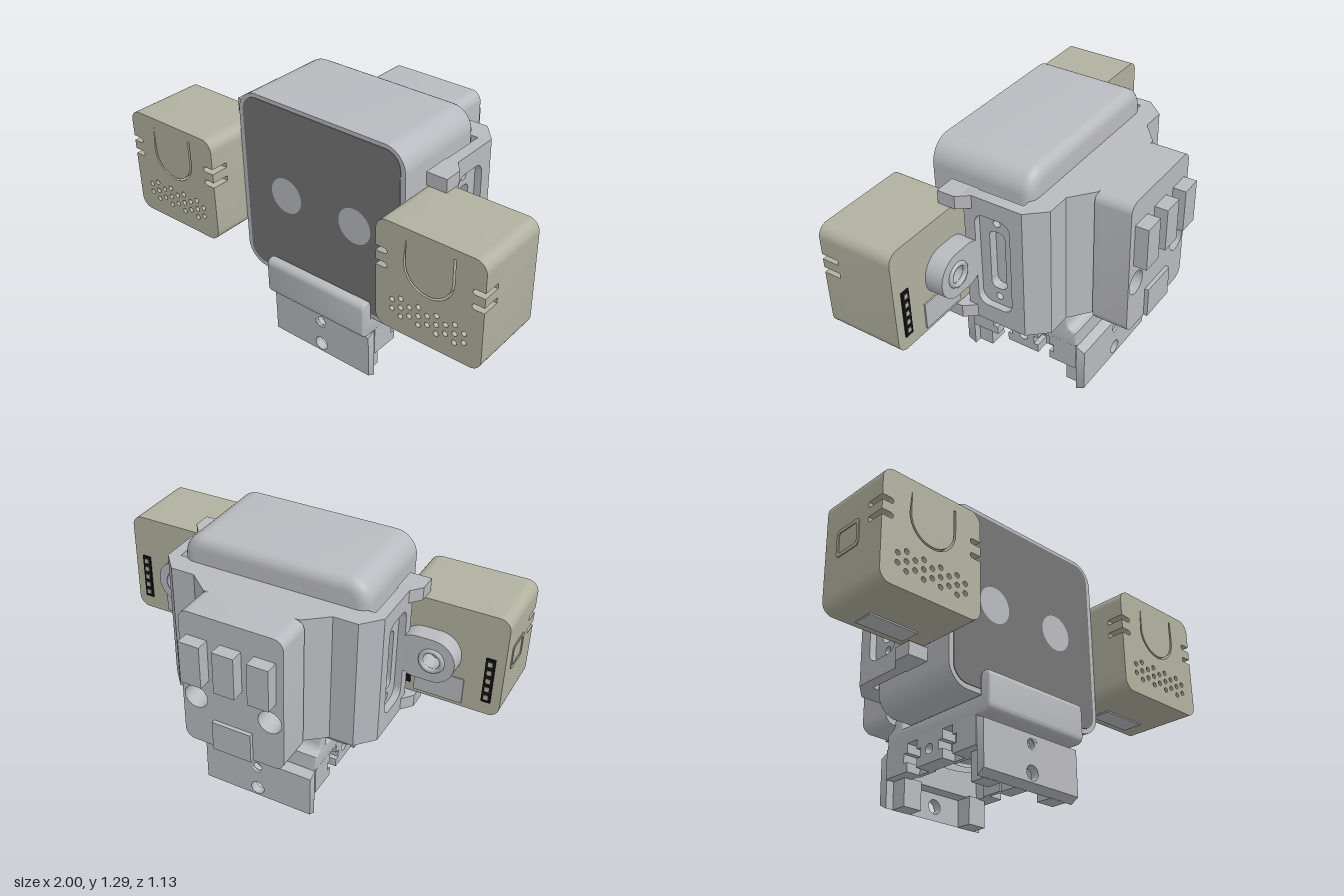
import * as THREE from 'three';
import { toCreasedNormals } from 'three/addons/utils/BufferGeometryUtils.js';

const mat = (name, color) => Object.assign(new THREE.MeshStandardMaterial({ color }), { name });

// Shape helpers
function roundRect(x0, y0, x1, y1, r, S = THREE.Shape) {
  const s = new S();
  s.absarc(x1 - r, y0 + r, r, -Math.PI / 2, 0);
  s.absarc(x1 - r, y1 - r, r, 0, Math.PI / 2);
  s.absarc(x0 + r, y1 - r, r, Math.PI / 2, Math.PI);
  s.absarc(x0 + r, y0 + r, r, Math.PI, Math.PI * 1.5);
  s.closePath();
  return s;
}
const circle = (x, y, r) => new THREE.Path().absarc(x, y, r, 0, Math.PI * 2);
const poly = pts => new THREE.Shape(pts.map(p => new THREE.Vector2(...p)));

// Extrusions along each axis
function extrudeZ(shape, z0, z1, bevel = 0, seg = 8) {
  const g = new THREE.ExtrudeGeometry(shape, {
    depth: z1 - z0 - 2 * bevel, curveSegments: seg, bevelEnabled: bevel > 0,
    bevelSize: bevel, bevelThickness: bevel, bevelOffset: -bevel, bevelSegments: 5,
  });
  return toCreasedNormals(g.translate(0, 0, z0 + bevel), 0.5);
}
// shape drawn in (-z, y)
const extrudeX = (shape, x0, x1, bevel) => extrudeZ(shape, x0, x1, bevel).rotateY(Math.PI / 2);
// shape drawn in (x, z)
const extrudeY = (shape, y0, y1) => extrudeZ(shape, -y1, -y0).rotateX(Math.PI / 2);

export function createModel() {
  const root = new THREE.Group();
  root.name = 'deskRobot';
  const grey = mat('body grey', 0xb9babf), dark = mat('face grey', 0x747474);
  const khaki = mat('speaker khaki', 0xb1b1a0), black = mat('connector black', 0x111111);
  let parent = root;
  const add = (name, geo, m = grey) => {
    const mesh = new THREE.Mesh(geo, m);
    mesh.name = name;
    parent.add(mesh);
    return mesh;
  };
  const box = (name, x0, x1, y0, y1, z0, z1, m) => add(name, new THREE.BoxGeometry(Math.abs(x1 - x0), y1 - y0, z1 - z0)
    .translate((x0 + x1) / 2, (y0 + y1) / 2, (z0 + z1) / 2), m);
  const group = name => {
    parent = new THREE.Group();
    parent.name = name;
    root.add(parent);
  };

  // Head: rounded at the back, flat at the front
  group('head');
  const shell = new THREE.ExtrudeGeometry(roundRect(-0.47, 0.36, 0.47, 1.29, 0.11), {
    depth: 0.46, bevelSize: 0.06, bevelThickness: 0.05, bevelOffset: -0.06, bevelSegments: 6, curveSegments: 8,
  }).translate(0, 0, -0.09);
  const sp = shell.attributes.position;
  for (let i = 0; i < sp.count; i++) sp.setZ(i, Math.min(sp.getZ(i), 0.37));
  add('headShell', toCreasedNormals(shell, 0.5));
  add('facePlate', extrudeZ(roundRect(-0.445, 0.385, 0.445, 1.27, 0.08), 0.369, 0.373), dark);
  for (const s of [-1, 1])
    add('eye', new THREE.CircleGeometry(0.09, 40).translate(s * 0.2, 0.825, 0.3745));

  // Back bracket wrapping round the head
  group('bracket');
  const half = [[0.24, -0.325], [0.35, -0.235], [0.47, -0.235], [0.55, -0.145], [0.55, -0.12]];
  add('bracketBack', extrudeY(poly([...half, ...half.map(([x, z]) => [-x, z]).reverse()]), 0.49, 1.155));
  for (const s of [-1, 1]) {
    const wall = roundRect(-0.155, 0.49, 0.13, 1.155, 0.001);
    wall.holes.push(roundRect(-0.1, 0.58, 0.08, 1.07, 0.05, THREE.Path));
    add('bracketSide', extrudeX(wall, s > 0 ? 0.495 : -0.55, s > 0 ? 0.55 : -0.495));
    const inner = roundRect(-0.11, 0.57, 0.09, 1.08, 0.05);
    inner.holes.push(roundRect(-0.05, 0.67, 0.03, 0.98, 0.03, THREE.Path),
      circle(-0.01, 0.625, 0.018), circle(-0.01, 1.025, 0.018));
    add('sidePanel', extrudeX(inner, s > 0 ? 0.46 : -0.515, s > 0 ? 0.515 : -0.46));
    // flared tabs at top and bottom
    const tab = [[0.49, 0.11], [0.55, 0.11], [0.595, 0.165], [0.595, 0.255], [0.49, 0.255]];
    for (const y of [0.49, 1.09])
      add('bracketTab', extrudeY(poly(tab.map(([x, z]) => [s * x, z])), y, y + 0.065));
    // round-ended lug that carries the speaker
    const lug = s > 0 ? roundRect(0.5, 0.715, 0.795, 0.94, 0.11) : roundRect(-0.795, 0.715, -0.5, 0.94, 0.11);
    lug.holes.push(circle(s * 0.685, 0.828, 0.045));
    add('speakerLug', extrudeZ(lug, 0.1, 0.19));
    add('lugRing', new THREE.TorusGeometry(0.052, 0.012, 8, 28).translate(s * 0.685, 0.828, 0.1));
  }

  // Rear block with screw wells and three bars
  group('rearBlock');
  const block = roundRect(-0.26, 0.45, 0.26, 1.155, 0.05);
  add('blockFront', extrudeZ(block, -0.35, -0.32));
  const drilled = roundRect(-0.26, 0.45, 0.26, 1.155, 0.05);
  for (const s of [-1, 1]) drilled.holes.push(circle(s * 0.19, 0.705, 0.06));
  add('blockBack', extrudeZ(drilled, -0.5, -0.35));
  for (const x of [-0.17, 0, 0.17]) box('rearBar', x - 0.053, x + 0.053, 0.82, 1.035, -0.565, -0.49);
  box('rearPad', -0.1, 0.1, 0.45, 0.605, -0.52, -0.49);

  // Cradle under the head, profile in (-z, y)
  group('cradle');
  const c = new THREE.Shape();
  c.moveTo(-0.31, 0.27);
  c.lineTo(-0.33, 0.27);
  c.lineTo(-0.40, 0.27);
  c.quadraticCurveTo(-0.435, 0.275, -0.435, 0.305);
  c.lineTo(-0.435, 0.435);
  c.absarc(-0.404, 0.435, 0.031, Math.PI, 0, true);
  c.lineTo(-0.373, 0.357);
  c.lineTo(0.145, 0.357);
  c.lineTo(0.145, 0.44);
  c.absarc(0.175, 0.44, 0.03, Math.PI, 0, true);
  c.lineTo(0.205, 0.4);
  c.quadraticCurveTo(0.21, 0.36, 0.255, 0.357);
  c.lineTo(0.255, 0.27);
  c.closePath();
  add('cradleTray', extrudeX(c, -0.295, 0.295, 0.012));
  for (const s of [-1, 1]) {
    // notched side wall with a cross hole
    const edge = [[-0.348, 0.28], [-0.348, 0.135]];
    for (const u of [-0.225, 0.015])
      edge.push([u + 0.025, 0.135], [u + 0.025, 0.18], [u, 0.18], [u, 0.225], [u + 0.025, 0.225], [u + 0.025, 0.27],
        [u + 0.09, 0.27], [u + 0.09, 0.225], [u + 0.115, 0.225], [u + 0.115, 0.18], [u + 0.09, 0.18], [u + 0.09, 0.135]);
    edge.push([0.255, 0.135], [0.255, 0.28]);
    const side = poly(edge);
    side.holes.push(circle(-0.045, 0.203, 0.024));
    add('cradleSide', extrudeX(side, s > 0 ? 0.21 : -0.295, s > 0 ? 0.295 : -0.21));
    box('notchBack', s * 0.2, s * 0.22, 0.135, 0.28, 0.11, 0.225);
    box('notchBack', s * 0.2, s * 0.22, 0.135, 0.28, -0.13, -0.015);
  }
  box('cradleEnd', -0.25, 0.25, 0.135, 0.28, 0.28, 0.348);
  box('cradleEnd', -0.25, 0.25, 0.135, 0.28, -0.255, -0.19);
  // turntable ring on the underside
  const ring = [[0.09, 0.275], [0.09, 0.23], [0.13, 0.23], [0.13, 0.25], [0.16, 0.25], [0.16, 0.232], [0.2, 0.232], [0.2, 0.275]];
  add('turntableRing', toCreasedNormals(new THREE.LatheGeometry(ring.map(p => new THREE.Vector2(...p)).reverse(), 40), 0.5)
    .translate(0, 0, 0.045)).material = grey;
  add('turntableHub', new THREE.CylinderGeometry(0.04, 0.04, 0.045, 24).translate(0, 0.255, 0.045));

  // Clamp plates with chamfered outer edges
  for (const [z0, z1, outer] of [[0.348, 0.39, 0.39], [-0.3, -0.255, -0.3]]) {
    const plate = roundRect(-0.29, 0, 0.29, 0.27, 0.0005);
    plate.holes.push(circle(0, 0.07, 0.036), circle(0, 0.205, 0.034));
    let g = extrudeZ(plate, z0, z1);
    const p = g.attributes.position;
    for (let i = 0; i < p.count; i++) {
      if (Math.abs(p.getZ(i) - outer) > 0.001) continue;
      if (p.getY(i) < 0.002) p.setY(i, 0.025);
      if (p.getY(i) > 0.268) p.setY(i, 0.25);
    }
    g = toCreasedNormals(g, 0.5);
    add('clampPlate', g);
    const inside = outer > 0 ? [0.27, 0.35] : [-0.257, -0.175];
    for (const s of [-1, 1]) box('clampRib', s * 0.15, s * 0.25, 0, 0.14, ...inside);
    add('screwRing', new THREE.TorusGeometry(0.03, 0.007, 8, 28).translate(0, 0.205, outer - Math.sign(outer) * 0.006));
  }

  // Speakers
  for (const s of [-1, 1]) {
    group(s > 0 ? 'leftSpeaker' : 'rightSpeaker');
    const cx = s * 0.735, w = 0.265, r = 0.055;
    add('speakerCase', extrudeZ(roundRect(cx - w, 0.56, cx + w, 1.09, r), 0.19, 0.478), khaki);
    // front layer: outline with side slots
    const f = new THREE.Shape();
    f.absarc(cx + w - r, 0.56 + r, r, -Math.PI / 2, 0);
    for (const y of [0.868, 0.938]) {
      f.lineTo(cx + w, y - 0.013);
      f.absarc(cx + w - 0.045, y, 0.013, Math.PI * 1.5, Math.PI / 2, true);
      f.lineTo(cx + w, y + 0.013);
    }
    f.absarc(cx + w - r, 1.09 - r, r, 0, Math.PI / 2);
    f.absarc(cx - w + r, 1.09 - r, r, Math.PI / 2, Math.PI);
    for (const y of [0.938, 0.868]) {
      f.lineTo(cx - w, y + 0.013);
      f.absarc(cx - w + 0.045, y, 0.013, Math.PI / 2, -Math.PI / 2, true);
      f.lineTo(cx - w, y - 0.013);
    }
    f.absarc(cx - w + r, 0.56 + r, r, Math.PI, Math.PI * 1.5);
    f.closePath();
    // U-shaped groove
    const u = new THREE.Path();
    u.moveTo(cx - 0.124, 1.045);
    u.absarc(cx, 0.927, 0.124, Math.PI, Math.PI * 2);
    u.lineTo(cx + 0.124, 1.045);
    u.lineTo(cx + 0.114, 1.045);
    u.absarc(cx, 0.927, 0.114, 0, -Math.PI, true);
    u.lineTo(cx - 0.114, 1.045);
    u.closePath();
    f.holes.push(u);
    // grille holes in staggered rows
    for (let row = 0; row < 5; row++) {
      const n = row % 2 ? 5 : 4;
      for (let k = 0; k < n; k++)
        f.holes.push(circle(cx + (k - (n - 1) / 2) * 0.0895, 0.645 + row * 0.0228, 0.0125));
    }
    add('speakerFront', extrudeZ(f, 0.478, 0.565), khaki);
    // connectors on the back and underside
    box('pinStrip', s * 0.91, s * 0.955, 0.63, 0.87, 0.183, 0.192, black);
    for (let i = 0; i < 5; i++) box('pin', s * 0.922, s * 0.943, 0.647 + i * 0.046, 0.67 + i * 0.046, 0.18, 0.185, khaki);
    box('backPlate', s * 0.58, s * 0.82, 0.58, 0.715, 0.183, 0.192);
    box('smallSocket', s * 0.53, s * 0.56, 0.61, 0.68, 0.183, 0.192, black);
    box('bottomPlate', s * 0.61, s * 0.86, 0.553, 0.562, 0.23, 0.33);
  }
  // side port frame on the right speaker
  const port = roundRect(-0.42, 0.78, -0.27, 0.91, 0.02);
  port.holes.push(roundRect(-0.405, 0.797, -0.285, 0.893, 0.015, THREE.Path));
  add('sidePort', extrudeX(port, -1.004, -0.998), khaki);
  return root;
}
